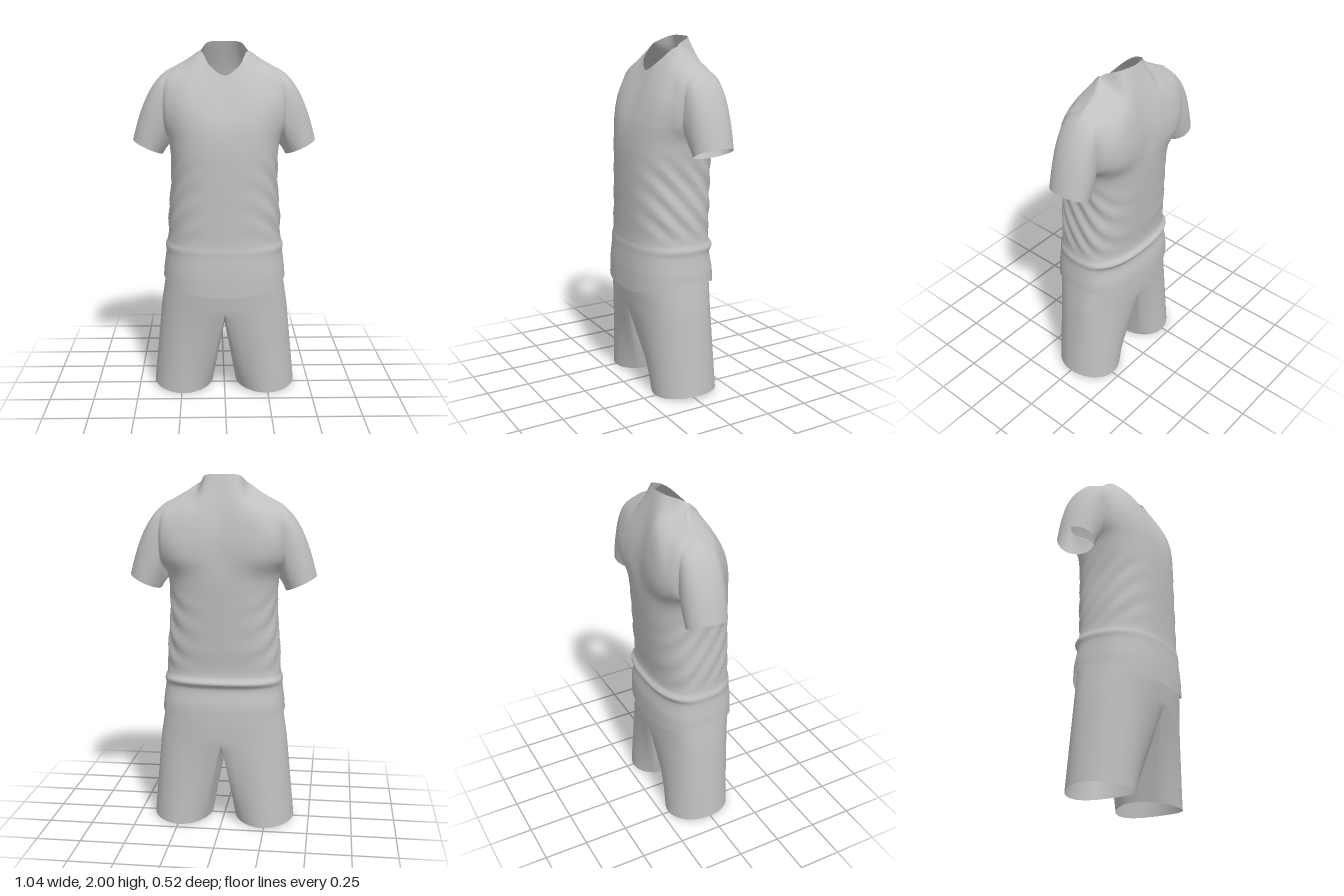
import * as THREE from 'three';
import { mergeVertices } from 'three/addons/utils/BufferGeometryUtils.js';

const V = (x, y, z) => new THREE.Vector3(x, y, z);
const mirror = p => V(-p.x, p.y, p.z);
const mirrorGrid = g => g.map(row => row.map(mirror).reverse());

// Weld several point grids into one smooth surface
function surface(grids) {
  const pos = [], index = [];
  for (const g of grids) {
    const start = pos.length / 3, w = g[0].length;
    g.forEach(row => row.forEach(p => pos.push(p.x, p.y, p.z)));
    for (let i = 0; i < g.length - 1; i++) for (let j = 0; j < w - 1; j++) {
      const a = start + i * w + j, b = a + 1, c = a + w, d = c + 1;
      index.push(a, b, c, b, d, c);
    }
  }
  const geo = new THREE.BufferGeometry();
  geo.setAttribute('position', new THREE.Float32BufferAttribute(pos, 3));
  geo.setIndex(index);
  const welded = mergeVertices(geo, 1e-4);
  welded.computeVertexNormals();
  return welded;
}

// Rounded body outline: a = 0 at the front, PI/2 at the side, PI at the back
const SIDE_Z = -0.03;
function outline(a, y, rx, zf, zb) {
  const c = Math.cos(a), reach = (c > 0 ? zf : zb) - SIDE_Z;
  return V(rx * Math.pow(Math.max(0, Math.sin(a)), 0.8), y, SIDE_Z + reach * Math.pow(Math.abs(c), 0.8));
}

// Body rows of the shirt: height, half width, front z, back z
const BODY = [
  [0.60, 0.352, 0.256, -0.240], [0.72, 0.348, 0.253, -0.236], [0.82, 0.336, 0.245, -0.220],
  [0.855, 0.338, 0.243, -0.240], [0.89, 0.326, 0.238, -0.218], [1.05, 0.315, 0.236, -0.226],
  [1.25, 0.300, 0.236, -0.240], [1.43, 0.310, 0.230, -0.252],
];
// Chest and shoulder rows, each from the centre to the armhole
const CHEST = [
  [[0, 1.55, 0.208], [0.12, 1.55, 0.204], [0.22, 1.55, 0.175], [0.29, 1.55, 0.120], [0.335, 1.54, 0.05]],
  [[0, 1.67, 0.160], [0.12, 1.68, 0.160], [0.22, 1.69, 0.140], [0.29, 1.69, 0.100], [0.34, 1.69, 0.05]],
  [[0, 1.76, 0.118], [0.09, 1.79, 0.105], [0.17, 1.83, 0.070], [0.24, 1.82, 0.050], [0.325, 1.79, 0.02]],
  [[0, 1.82, 0.090], [0.08, 1.87, 0.060], [0.135, 1.95, -0.03], [0.205, 1.905, -0.06], [0.285, 1.86, -0.07]],
];
const UPPER_BACK = [
  [[0, 1.55, -0.250], [0.12, 1.55, -0.259], [0.22, 1.55, -0.255], [0.29, 1.55, -0.225], [0.335, 1.54, -0.17]],
  [[0, 1.68, -0.240], [0.12, 1.68, -0.252], [0.22, 1.69, -0.250], [0.29, 1.69, -0.230], [0.34, 1.69, -0.185]],
  [[0, 1.84, -0.200], [0.10, 1.83, -0.210], [0.17, 1.83, -0.200], [0.245, 1.81, -0.185], [0.325, 1.79, -0.16]],
  [[0, 2.00, -0.145], [0.09, 1.995, -0.122], [0.135, 1.95, -0.03], [0.205, 1.905, -0.06], [0.285, 1.86, -0.07]],
];

// Soft diagonal draping at the sides of the waist
function drape(p) {
  const fade = THREE.MathUtils.smoothstep(p.y, 0.88, 1.0) * (1 - THREE.MathUtils.smoothstep(p.y, 1.25, 1.42));
  const k = 1 + 0.02 * fade * Math.sin(45 * (p.y - 1.2 * p.z)) * Math.min(1, (p.x / 0.28) ** 2);
  p.x *= k;
  p.z *= k;
  return p;
}

function shirtGeometry() {
  const COLS = 48, STEP = 8;
  const half = { front: [], back: [] };
  BODY.forEach(([y, rx, zf, zb], r) => {
    const make = side => [0, 1, 2, 3, 4].map(i => {
      const a = i * Math.PI / 8;
      const lift = r === 0 ? 0.072 * Math.sin(a) ** 2 : 0;   // hem rises at the sides
      return outline(side === 'front' ? a : Math.PI - a, y + lift, rx, zf, zb);
    });
    half.front.push(make('front'));
    half.back.push(make('back'));
  });
  CHEST.forEach(row => half.front.push(row.map(p => V(...p))));
  UPPER_BACK.forEach(row => half.back.push(row.map(p => V(...p))));

  // Full rows: front runs right to left, back runs left to right
  const full = {
    front: half.front.map(h => [...h.slice(1).reverse().map(mirror), ...h]),
    back: half.back.map(h => [...h.slice(1).reverse(), ...h.map(mirror)]),
  };
  const panel = (rows, others) => {
    const wide = rows.map((row, r) => {
      const o = others[r];
      const curve = new THREE.CatmullRomCurve3([o[7], ...row, o[1]]);
      return Array.from({ length: COLS + 1 }, (_, j) => curve.getPoint(0.1 + 0.8 * j / COLS));
    });
    const columns = wide[0].map((_, j) => new THREE.CatmullRomCurve3(wide.map(row => row[j])));
    const n = (rows.length - 1) * STEP;
    return Array.from({ length: n + 1 }, (_, i) => columns.map(c => drape(c.getPoint(i / n))));
  };
  const front = panel(full.front, full.back), back = panel(full.back, full.front);

  // Close the side seams below the armpit and the shoulder seams
  const armpit = (BODY.length - 1) * STEP, top = front.length - 1;
  const join = (a, b) => { a.lerp(b, 0.5); b.copy(a); };
  for (let i = 0; i <= armpit; i++) {
    join(front[i][COLS], back[i][0]);
    join(front[i][0], back[i][COLS]);
  }
  for (let j = 0; j <= COLS / 4; j++) {
    join(front[top][COLS - j], back[top][j]);
    join(front[top][j], back[top][COLS - j]);
  }

  // Sleeve: sweeps from the armhole loop to a tilted oval cuff
  const hole = [];
  for (let i = armpit; i <= top; i++) hole.push(back[i][0]);
  for (let i = top - 1; i >= armpit; i--) hole.push(front[i][COLS]);
  const sleeve = [];
  for (let s = 0; s <= 16; s++) {
    sleeve.push(hole.map((p, j) => {
      const phi = 2 * Math.PI * j / (hole.length - 1), w = (1 - Math.cos(phi)) / 2;
      const cuff = V(0.435 - 0.085 * Math.cos(phi), 1.41 - 0.04 * Math.cos(phi), -0.075 - 0.115 * Math.sin(phi));
      const bend = V(cuff.x - 0.02 - 0.06 * w, cuff.y + 0.04 + 0.31 * w, -0.07 + 1.1 * ((p.z + cuff.z) / 2 + 0.07));
      return new THREE.QuadraticBezierCurve3(p, bend, cuff).getPoint(s / 16);
    }));
  }
  return surface([front, back, sleeve, mirrorGrid(sleeve)]);
}

function shortsGeometry() {
  const N = 32, INNER = 16;
  // Half of the hips, from waist to the top of the leg
  const hipCurve = [[0.80, 0.320, 0.232, -0.203], [0.65, 0.343, 0.241, -0.213], [0.5, 0.366, 0.228, -0.212]];
  const columns = Array.from({ length: N + 1 }, (_, j) =>
    new THREE.CatmullRomCurve3(hipCurve.map(h => outline(Math.PI * (1 - j / N), ...h))));
  const hips = Array.from({ length: 13 }, (_, i) => columns.map(c => c.getPoint(i / 12)));

  // Leg opening: outer arc closed by the crotch seam
  const loop = hips[12].map(p => p.clone());
  const first = loop[0], last = loop[N];
  for (let j = 1; j <= INNER; j++) {
    const t = j / INNER;
    loop.push(V(0, 0.5 - 0.11 * Math.sin(Math.PI * t), THREE.MathUtils.lerp(last.z, first.z, t)));
  }
  const spread = 50 * Math.PI / 180;
  const leg = [];
  for (let s = 0; s <= 14; s++) {
    leg.push(loop.map((p, j) => {
      const a = j <= N
        ? Math.PI + spread - (Math.PI + 2 * spread) * j / N
        : -spread - (Math.PI - 2 * spread) * (j - N) / INNER;
      const hem = V(0.24 + 0.172 * Math.sin(a), 0.018 - 0.018 * Math.cos(a) ** 2, -0.017 + 0.19 * Math.cos(a));
      return p.clone().lerp(hem, s / 14);
    }));
  }
  return surface([hips, leg, mirrorGrid(hips), mirrorGrid(leg)]);
}

export function createModel() {
  const fabric = new THREE.MeshStandardMaterial({ color: 0xc0c0c0, side: THREE.DoubleSide });
  fabric.name = 'light grey fabric';
  const group = new THREE.Group();
  group.name = 'sportsOutfit';
  const add = (name, geometry) => {
    const mesh = new THREE.Mesh(geometry, fabric);
    mesh.name = name;
    group.add(mesh);
  };
  add('shirt', shirtGeometry());
  add('shorts', shortsGeometry());
  return group;
}
